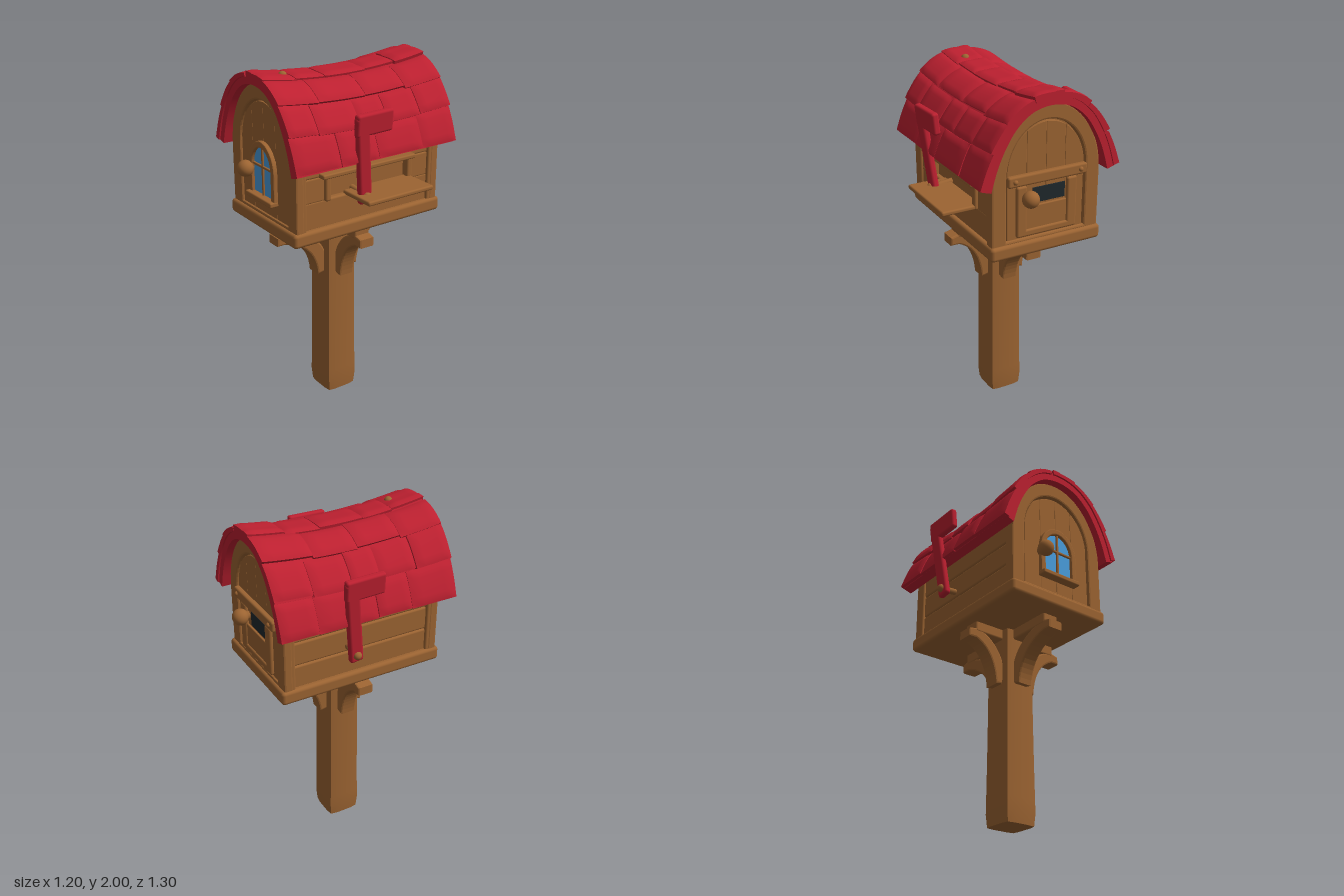
import * as THREE from 'three';
import { RoundedBoxGeometry } from 'three/addons/geometries/RoundedBoxGeometry.js';

const mat = (name, color) => Object.assign(new THREE.MeshStandardMaterial({ color }), { name });

export function createModel() {
  const wood = mat('wood', 0x9c6432), red = mat('red', 0xbd2030);
  const glass = mat('glass', 0x4a9ede), dark = mat('dark', 0x1f282c);
  const model = new THREE.Group();
  model.name = 'mailbox';
  const box3 = new THREE.Group(); // everything, turned on the spot
  box3.name = 'turnedMailbox';
  box3.rotation.y = -26 * Math.PI / 180;
  model.add(box3);

  let seed = 7;
  const rand = () => ((seed = (seed * 16807) % 2147483647) / 2147483647) * 2 - 1;

  const add = (name, geo, material, parent = box3) => {
    const m = new THREE.Mesh(geo, material);
    m.name = name;
    parent.add(m);
    return m;
  };
  // Soft box given by its limits on each axis
  const block = (name, x0, x1, y0, y1, z0, z1, material = wood, parent = box3, r = 0.012) => {
    const m = add(name, new RoundedBoxGeometry(x1 - x0, y1 - y0, z1 - z0, 2, r), material, parent);
    m.position.set((x0 + x1) / 2, (y0 + y1) / 2, (z0 + z1) / 2);
    return m;
  };
  const ball = (name, x, y, z, r, material = wood, parent = box3) => {
    const m = add(name, new THREE.SphereGeometry(r, 20, 14), material, parent);
    m.position.set(x, y, z);
    return m;
  };
  // Piece of an arch between x0 and x1, flat at the bottom
  const archPoints = (w, y0, spring, top, x0 = -w, x1 = w) => {
    const pts = [new THREE.Vector2(x0, y0), new THREE.Vector2(x1, y0)];
    for (let i = 0; i <= 28; i++) {
      const a0 = Math.acos(x1 / w), a1 = Math.acos(x0 / w), a = a0 + (a1 - a0) * i / 28;
      pts.push(new THREE.Vector2(w * Math.cos(a), spring + (top - spring) * Math.sin(a)));
    }
    return pts;
  };
  const extrude = (name, pts, hole, z0, z1, material = wood, parent = box3, bevel = 0.006) => {
    const shape = new THREE.Shape(pts);
    if (hole) shape.holes.push(new THREE.Path(hole));
    const geo = new THREE.ExtrudeGeometry(shape, {
      depth: z1 - z0 - 2 * bevel, curveSegments: 12, bevelEnabled: bevel > 0,
      bevelSize: bevel, bevelThickness: bevel, bevelOffset: -bevel, bevelSegments: 2,
    });
    geo.translate(0, 0, z0 + bevel);
    return add(name, geo, material, parent);
  };

  // Post, slightly waisted and worn
  const px = 0.013, pz = 0.027;
  const post = new THREE.BoxGeometry(0.205, 1.12, 0.205, 4, 16, 4);
  const pp = post.attributes.position;
  for (let i = 0; i < pp.count; i++) {
    const y = pp.getY(i) + 0.56;
    const corner = Math.abs(pp.getX(i)) > 0.1 && Math.abs(pp.getZ(i)) > 0.1 ? 0.93 : 1;
    const k = (0.92 + 0.08 * Math.pow(1 - y / 1.12, 2)) * corner * (y < 0.01 ? 0.93 : 1);
    pp.setXYZ(i, pp.getX(i) * k, y, pp.getZ(i) * k);
  }
  post.computeVertexNormals();
  add('post', post, wood).position.set(px, 0, pz);

  // Cross beams and the four curved braces
  block('crossBeam', px - 0.28, px + 0.28, 1.06, 1.13, pz - 0.05, pz + 0.05);
  block('longBeam', px - 0.05, px + 0.05, 1.06, 1.13, pz - 0.36, pz + 0.36);
  for (let k = 0; k < 4; k++) {
    const r = k % 2 ? 0.4 : 0.325;
    const s = new THREE.Shape();
    s.moveTo(0.08, 0.79);
    s.lineTo(0.135, 0.78);
    s.quadraticCurveTo(0.15, 0.97, r - 0.05, 1.02);
    s.lineTo(r, 1.02);
    s.lineTo(r, 1.07);
    s.lineTo(r - 0.06, 1.085);
    s.quadraticCurveTo(0.13, 1.05, 0.08, 0.9);
    const pivot = new THREE.Group();
    pivot.name = 'brace';
    pivot.position.set(px, 0, pz);
    pivot.rotation.y = k * Math.PI / 2;
    box3.add(pivot);
    extrude('curvedBrace', s.getPoints(12), null, -0.048, 0.048, wood, pivot, 0.01);
  }

  // Floor slab and body core
  block('floor', -0.333, 0.333, 1.12, 1.2, -0.49, 0.49, wood, box3, 0.02);
  extrude('bodyCore', archPoints(0.275, 1.18, 1.5, 1.9), null, -0.435, 0.435);
  // Corner posts and plank walls; the wall at +x leaves a mail opening
  for (const sx of [-1, 1]) for (const sz of [-1, 1])
    block('cornerPost', sx * 0.295 - 0.025, sx * 0.295 + 0.025, 1.18, 1.6, sz * 0.435 - 0.032, sz * 0.435 + 0.032);
  for (let i = 0; i < 3; i++)
    block('leftPlank', -0.305, -0.26, 1.19 + i * 0.137, 1.325 + i * 0.137, -0.42, 0.42);
  block('lowerWall', 0.26, 0.305, 1.19, 1.35, -0.42, 0.42);
  block('upperWall', 0.26, 0.305, 1.475, 1.6, -0.42, 0.42);
  block('frontSideWall', 0.26, 0.305, 1.34, 1.48, 0.25, 0.42);
  block('backSideWall', 0.26, 0.305, 1.34, 1.48, -0.42, -0.26);
  block('slotLedge', 0.29, 0.35, 1.475, 1.5, -0.29, 0.32, wood, box3, 0.008);
  for (const z of [-0.27, 0.27]) block('slotJamb', 0.29, 0.325, 1.34, 1.48, z - 0.018, z + 0.018);
  block('shelf', 0.28, 0.51, 1.342, 1.368, -0.285, 0.15, wood, box3, 0.01);

  // Arched ends: frame ring and plank door, shared by front and back
  const makeEnd = (name, turn) => {
    const g = new THREE.Group();
    g.name = name;
    g.rotation.y = turn;
    box3.add(g);
    extrude('archFrame', archPoints(0.322, 1.19, 1.52, 1.93), archPoints(0.235, 1.215, 1.56, 1.84), 0.42, 0.472, wood, g, 0.01);
    for (let i = 0; i < 4; i++) {
      const x0 = -0.228 + i * 0.114;
      extrude('doorPlank', archPoints(0.23, 1.2, 1.56, 1.83, x0, Math.min(x0 + 0.114, 0.228)), null, 0.42, 0.46, wood, g, 0.003);
    }
    ball('knob', -0.117, 1.445, 0.51, 0.046, wood, g);
    const stem = add('knobStem', new THREE.CylinderGeometry(0.02, 0.026, 0.06, 14), wood, g);
    stem.rotation.x = Math.PI / 2;
    stem.position.set(-0.117, 1.445, 0.475);
    return g;
  };

  // Front: arched window with bars and sill
  const front = makeEnd('frontEnd', 0);
  extrude('windowGlass', archPoints(0.1, 1.315, 1.47, 1.585), null, 0.46, 0.466, glass, front, 0);
  extrude('windowFrame', archPoints(0.128, 1.3, 1.47, 1.62), archPoints(0.096, 1.315, 1.47, 1.585), 0.455, 0.485, wood, front);
  block('windowBarUpright', -0.007, 0.007, 1.31, 1.59, 0.46, 0.476, wood, front, 0.004);
  block('windowBarLevel', -0.1, 0.1, 1.471, 1.485, 0.46, 0.476, wood, front, 0.004);
  block('windowSill', -0.13, 0.13, 1.29, 1.318, 0.455, 0.51, wood, front, 0.008);

  // Back: crossbar with pegs over a framed hatch with a slot
  const back = makeEnd('backEnd', Math.PI);
  block('crossbar', -0.235, 0.235, 1.515, 1.575, 0.455, 0.49, wood, back);
  for (const x of [-0.195, 0.195]) ball('peg', x, 1.545, 0.488, 0.014, wood, back);
  for (const x of [-0.15, 0.15]) block('hatchStile', x - 0.03, x + 0.03, 1.225, 1.51, 0.455, 0.482, wood, back);
  block('hatchRail', -0.15, 0.15, 1.225, 1.265, 0.455, 0.482, wood, back);
  block('hatchPanel', -0.13, 0.13, 1.255, 1.39, 0.45, 0.472, wood, back, 0.006);
  block('slotOpening', -0.08, 0.115, 1.4, 1.485, 0.457, 0.464, dark, back, 0.002);

  // Roof profile, eave to eave, with a sagging ridge
  const half = [[0.41, 1.545], [0.375, 1.66], [0.325, 1.77], [0.25, 1.88], [0.14, 1.963]];
  const profile = new THREE.CatmullRomCurve3([
    ...half.map(([x, y]) => new THREE.Vector3(-x, y, 0)), new THREE.Vector3(0, 1.992, 0),
    ...half.slice().reverse().map(([x, y]) => new THREE.Vector3(x, y, 0))]);
  // Curved slab over part of the roof; u runs 0 to 1 across it
  const roofSlab = (name, u0, u1, z0, z1, low, high, puff) => {
    const geo = new THREE.BoxGeometry(1, 1, 1, Math.max(8, Math.ceil((u1 - u0) * 40)), 1, 8);
    const p = geo.attributes.position;
    for (let i = 0; i < p.count; i++) {
      const fx = p.getX(i) + 0.5, fy = p.getY(i), fz = p.getZ(i) + 0.5;
      const u = THREE.MathUtils.clamp(u0 + (u1 - u0) * fx, 0, 1), z = z0 + (z1 - z0) * fz;
      const c = profile.getPointAt(u), t = profile.getTangentAt(u);
      const edge = fx < 0.01 || fx > 0.99 || fz < 0.01 || fz > 0.99;
      const lift = (u < 0.5 ? 1 - fx : fx) * 0.012; // lower edge stands proud
      const d = fy < 0 ? low : high + (puff ? lift - (edge ? puff : 0) : 0);
      const sag = 0.042 * (1 - Math.pow(z / 0.5, 2)) * Math.sin(Math.PI * u);
      p.setXYZ(i, c.x - t.y * d, c.y + t.x * d - sag, z);
    }
    geo.computeVertexNormals();
    return add(name, geo, red);
  };
  roofSlab('roofShell', 0, 1, -0.512, 0.512, -0.068, -0.014, 0);
  const rows = [0, 0.16, 0.31, 0.45, 0.58, 0.72, 0.85, 1];
  for (let r = 0; r < 7; r++) {
    const n = 4 + (r % 2);
    const cuts = [-0.522];
    for (let i = 1; i < n; i++) cuts.push(-0.522 + 1.044 * (i + rand() * 0.18) / n);
    cuts.push(0.522);
    for (let i = 0; i < n; i++) {
      const j = rand() * 0.008;
      roofSlab('shingle', rows[r] + (r ? j : Math.abs(j)), rows[r + 1] + (r < 6 ? j : -Math.abs(j)),
        cuts[i] + 0.001, cuts[i + 1] - 0.001, -0.03, rand() * 0.004, 0.009);
    }
  }
  ball('roofNub', 0.04, 1.962, 0.36, 0.024);

  // Signal flags, one each side, half a turn apart
  for (const turn of [0, Math.PI]) {
    const side = new THREE.Group();
    side.name = 'signalFlag';
    side.rotation.y = turn;
    box3.add(side);
    const arm = new THREE.Group();
    arm.name = 'flagArm';
    arm.position.set(0.385, 1.355, 0.085);
    arm.rotation.set(0.12, 0, -0.09);
    side.add(arm);
    block('flagPole', -0.02, 0.02, -0.045, 0.45, -0.04, 0.04, red, arm, 0.016);
    const head = block('flagHead', -0.02, 0.02, 0.335, 0.455, -0.19, 0.04, red, arm, 0.014);
    head.rotation.x = -0.1;
    ball('flagPivot', 0.018, 0, 0, 0.024, wood, arm);
    const axle = add('flagAxle', new THREE.CylinderGeometry(0.018, 0.018, 0.12, 12), wood, arm);
    axle.rotation.z = Math.PI / 2;
    axle.position.x = -0.06;
  }
  return model;
}
